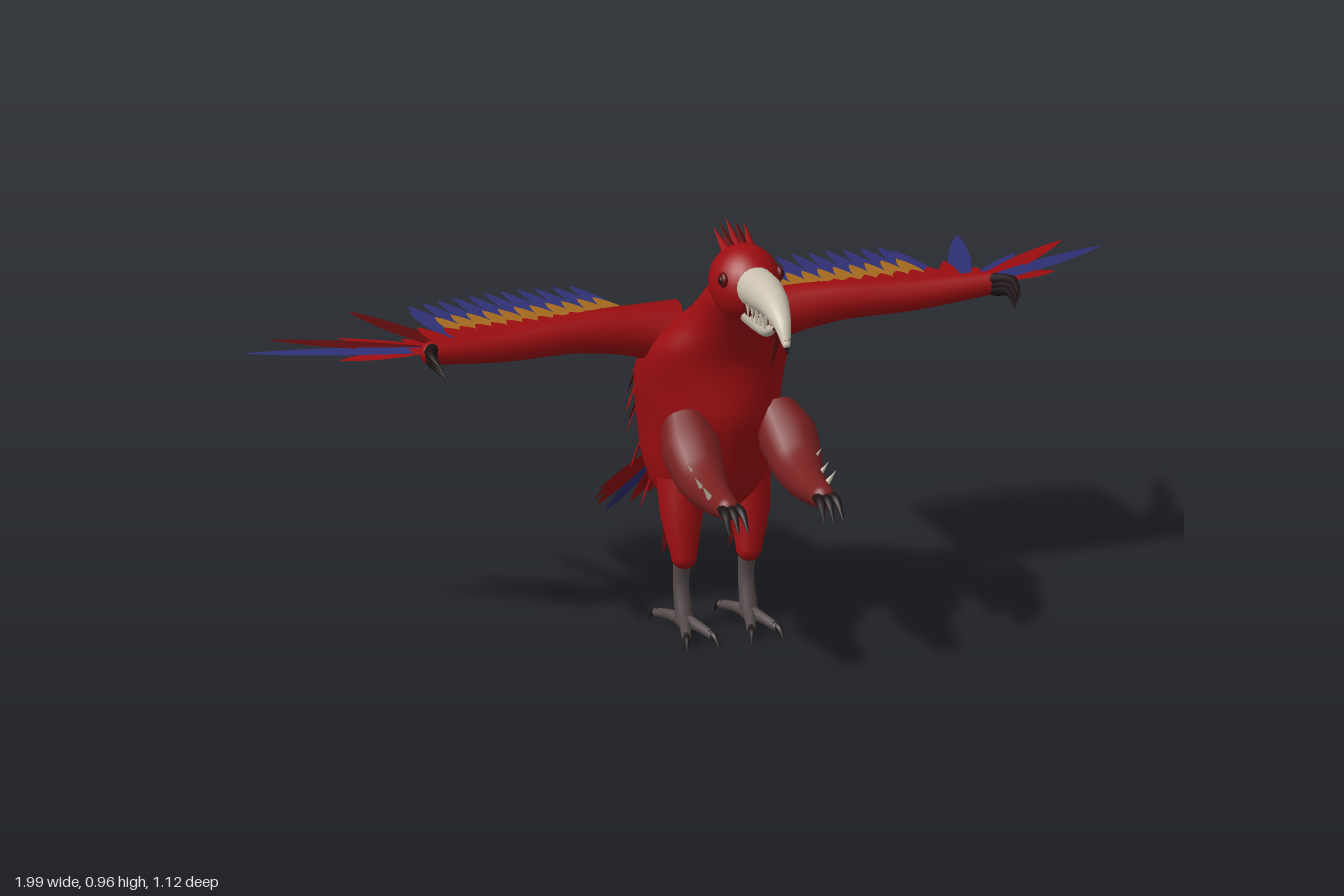
import * as THREE from 'three';
import { mergeVertices } from 'three/addons/utils/BufferGeometryUtils.js';

const mat = (name, color, side = THREE.FrontSide) => {
  const m = new THREE.MeshStandardMaterial({ color, side });
  m.name = name;
  return m;
};
const V = (x, y, z) => new THREE.Vector3(x, y, z);

export function createModel() {
  const root = new THREE.Group();
  root.name = 'parrotCreature';
  const D = THREE.DoubleSide;
  const red = mat('scarlet', 0x9c0d10, D), darkRed = mat('dark red', 0x5a0a0c, D);
  const blue = mat('feather blue', 0x2f3075, D), orange = mat('feather ochre', 0xa56a1e, D);
  const skin = mat('arm skin', 0x78201f), bone = mat('bone', 0xc9c0ae);
  const grey = mat('leg grey', 0x544a49), black = mat('claw black', 0x1d1314);

  const add = (parent, name, geometry, material) => {
    const m = new THREE.Mesh(geometry, material);
    m.name = name;
    parent.add(m);
    return m;
  };
  const group = (name) => {
    const g = new THREE.Group();
    g.name = name;
    root.add(g);
    return g;
  };
  const ball = (parent, name, material, c, r) => {
    const m = add(parent, name, new THREE.SphereGeometry(1, 24, 16), material);
    m.position.set(...c);
    m.scale.set(...r);
    return m;
  };

  // Tapered tube through [x, y, z, radius] points, rounded at its end
  function limb(parent, name, material, pts, sides = 14) {
    const curve = new THREE.CatmullRomCurve3(pts.map((p) => V(p[0], p[1], p[2])));
    const n = pts.length * 5;
    const geo = new THREE.TubeGeometry(curve, n, 1, sides);
    const pos = geo.attributes.position, v = V(0, 0, 0);
    for (let i = 0; i <= n; i++) {
      const c = curve.getPointAt(i / n);
      const t = curve.getUtoTmapping(i / n) * (pts.length - 1);
      const k = Math.min(Math.floor(t), pts.length - 2);
      const r = THREE.MathUtils.lerp(pts[k][3], pts[k + 1][3], t - k);
      for (let j = 0; j <= sides; j++) {
        const id = i * (sides + 1) + j;
        v.fromBufferAttribute(pos, id).sub(c).multiplyScalar(r).add(c);
        pos.setXYZ(id, v.x, v.y, v.z);
      }
    }
    add(parent, name, geo, material);
    const e = pts[pts.length - 1];
    if (e[3] > 0.008) ball(parent, name + 'End', material, e.slice(0, 3), [e[3], e[3], e[3]]);
  }

  // Straight cone from one point to another
  function spike(parent, name, material, a, b, r) {
    const from = V(...a), to = V(...b), d = to.clone().sub(from);
    const m = add(parent, name, new THREE.ConeGeometry(r, d.length(), 7), material);
    m.position.copy(from).addScaledVector(d, 0.5);
    m.quaternion.setFromUnitVectors(V(0, 1, 0), d.normalize());
  }

  // Flat pointed feather from root to tip, facing a given way
  function feather(parent, name, material, a, b, width, face = V(0, 1, 0), baseWidth = 0.8) {
    const from = V(...a), d = V(...b).sub(from), L = d.length(), h = width / 2;
    const s = new THREE.Shape();
    s.moveTo(-h * baseWidth, 0);
    s.lineTo(h * baseWidth, 0);
    s.lineTo(h, L * 0.5);
    s.quadraticCurveTo(h * 0.8, L * 0.82, 0, L);
    s.quadraticCurveTo(-h * 0.8, L * 0.82, -h, L * 0.5);
    const m = add(parent, name, new THREE.ShapeGeometry(s, 5), material);
    const Y = d.normalize(), X = Y.clone().cross(face).normalize(), Z = X.clone().cross(Y);
    m.quaternion.setFromRotationMatrix(new THREE.Matrix4().makeBasis(X, Y, Z));
    m.position.copy(from);
  }

  // Torso and neck: level rings of [y, front z, back z, half width]
  const rings = [
    [0.27, 0.11, 0.07, 0.01], [0.285, 0.145, 0.03, 0.07], [0.32, 0.18, -0.06, 0.115],
    [0.38, 0.22, -0.11, 0.135], [0.45, 0.245, -0.135, 0.142], [0.52, 0.265, -0.142, 0.15],
    [0.58, 0.262, -0.115, 0.157], [0.64, 0.257, -0.03, 0.158], [0.685, 0.265, 0.03, 0.145],
    [0.735, 0.285, 0.085, 0.11], [0.78, 0.31, 0.14, 0.088], [0.82, 0.335, 0.18, 0.077],
    [0.86, 0.34, 0.22, 0.06],
  ];
  const tracks = [0, 1, 2, 3].map((k) =>
    new THREE.SplineCurve(rings.map((r, i) => new THREE.Vector2(i, r[k]))));
  const bodyPoint = (t, a) => {
    const [y, f, b, w] = tracks.map((c) => c.getPoint(t).y);
    return V(w * Math.sin(a), y, (f + b) / 2 + ((f - b) / 2) * Math.cos(a));
  };
  const N = 40;
  let torso = new THREE.LatheGeometry(
    Array.from({ length: N + 1 }, (_, i) => new THREE.Vector2(1, i / N)), 32);
  const tp = torso.attributes.position;
  for (let i = 0; i < tp.count; i++) {
    const p = bodyPoint(tp.getY(i), Math.atan2(tp.getX(i), tp.getZ(i)));
    tp.setXYZ(i, p.x, p.y, p.z);
  }
  torso.deleteAttribute('uv');
  torso.deleteAttribute('normal');
  torso = mergeVertices(torso, 1e-5);
  torso.computeVertexNormals();
  const body = group('body');
  add(body, 'torso', torso, red);
  ball(body, 'rump', red, [0, 0.385, -0.095], [0.085, 0.065, 0.09]);

  // Loose feathers around the flanks and back
  let seed = 7;
  const rnd = () => ((seed = (seed * 16807) % 2147483647) / 2147483647);
  for (let row = 0; row < 6; row++) {
    for (let k = 0; k < 7; k++) {
      const a = Math.PI + (k - 3) * 0.42 + (rnd() - 0.5) * 0.25;
      const p = bodyPoint(0.17 + row * 0.095 + rnd() * 0.03, a);
      const out = V(Math.sin(a), 0, Math.cos(a));
      const q = p.clone().addScaledVector(out, 0.022).add(V(0, -0.05 - rnd() * 0.015, 0));
      feather(body, 'bodyFeather', k % 2 ? darkRed : red, p.toArray(), q.toArray(), 0.02, out);
    }
  }

  // Head, crest and beak
  const head = group('head');
  ball(head, 'skull', red, [0, 0.855, 0.292], [0.078, 0.085, 0.09]);
  for (let i = -2; i <= 2; i++)
    spike(head, 'crestFeather', i % 2 ? darkRed : red, [i * 0.014, 0.915, 0.26],
      [i * 0.018, 0.967 - Math.abs(i) * 0.006, 0.175 + Math.abs(i) * 0.01], 0.012);
  limb(head, 'upperBeak', bone, [[0, 0.865, 0.35, 0.046], [0, 0.868, 0.42, 0.042],
    [0, 0.86, 0.475, 0.032], [0, 0.832, 0.522, 0.019], [0, 0.795, 0.545, 0.009]], 20);
  spike(head, 'beakTip', black, [0, 0.803, 0.541], [0, 0.772, 0.555], 0.011);
  limb(head, 'lowerBeak', bone, [[0, 0.805, 0.34, 0.032], [0, 0.798, 0.39, 0.026],
    [0, 0.792, 0.43, 0.017], [0, 0.806, 0.472, 0.004]]);
  ball(head, 'mouth', darkRed, [0, 0.825, 0.375], [0.034, 0.025, 0.045]);
  limb(head, 'tongue', darkRed, [[0, 0.815, 0.38, 0.012], [0, 0.812, 0.43, 0.011],
    [0.012, 0.77, 0.444, 0.009], [0.01, 0.735, 0.436, 0.007], [0.008, 0.702, 0.433, 0.001]], 8);

  // Tail fan
  const tail = group('tail');
  const tailTips = [[0.075, -0.4], [0.062, -0.46], [0.04, -0.51]];
  const tailY = (z) => 0.345 + (z + 0.16) * 0.74;
  for (const s of [-1, 1])
    tailTips.forEach(([x, z], i) => feather(tail, 'redTailFeather', red,
      [s * 0.016, tailY(-0.13) - 0.008 + i * 0.002, -0.13],
      [s * x, tailY(z) - 0.006 + i * 0.002, z], 0.04));
  feather(tail, 'blueTailFeather', blue, [0, tailY(-0.13), -0.13], [0, tailY(-0.56), -0.56], 0.04);

  for (const s of [-1, 1]) {
    const side = s > 0 ? 'left' : 'right';

    // Eyes and teeth
    ball(head, side + 'EyeRim', darkRed, [s * 0.064, 0.88, 0.33], [0.009, 0.017, 0.017]);
    ball(head, side + 'Eye', black, [s * 0.068, 0.88, 0.331], [0.008, 0.01, 0.01]);
    for (let i = 0; i < 6; i++) {
      const z = 0.395 + i * 0.018, x = s * (0.032 - i * 0.0035);
      spike(head, 'upperTooth', bone, [x, 0.842, z], [x, 0.806, z + 0.003], 0.005);
      if (i < 4) spike(head, 'lowerTooth', bone, [x * 0.7, 0.803, z], [x * 0.8, 0.834, z], 0.005);
    }

    // Forward arm with thorns and claws
    const arm = group(side + 'Arm');
    limb(arm, 'arm', skin, [[s * 0.105, 0.515, 0.2, 0.05], [s * 0.112, 0.475, 0.26, 0.066],
      [s * 0.112, 0.428, 0.325, 0.055], [s * 0.11, 0.41, 0.4, 0.038],
      [s * 0.11, 0.41, 0.475, 0.027]]);
    for (const [z, y] of [[0.345, 0.45], [0.39, 0.435], [0.435, 0.43]])
      spike(arm, 'thorn', bone, [s * 0.132, y - 0.01, z], [s * 0.155, y + 0.025, z + 0.008], 0.008);
    for (const k of [-1, 0, 1])
      limb(arm, 'armClaw', black, [[s * 0.11 + k * 0.013, 0.412, 0.475, 0.013],
        [s * 0.11 + k * 0.019, 0.41, 0.515, 0.01], [s * 0.11 + k * 0.022, 0.372, 0.547, 0.001]], 8);

    // Leg, feathered thigh and zygodactyl foot
    const leg = group(side + 'Leg');
    limb(leg, 'thigh', red, [[s * 0.075, 0.36, 0.1, 0.055], [s * 0.078, 0.27, 0.112, 0.046],
      [s * 0.075, 0.18, 0.12, 0.028]]);
    for (let i = 0; i < 9; i++) {
      const a = (i / 9) * Math.PI * 2, dx = Math.sin(a), dz = Math.cos(a);
      const y = 0.27 + (i % 3) * 0.02;
      feather(leg, 'thighFeather', i % 2 ? darkRed : red,
        [s * 0.077 + dx * 0.034, y, 0.105 + dz * 0.034],
        [s * 0.077 + dx * 0.04, y - 0.1, 0.1 + dz * 0.042], 0.022, V(dx, 0, dz));
    }
    limb(leg, 'shank', grey, [[s * 0.075, 0.2, 0.125, 0.023], [s * 0.075, 0.12, 0.102, 0.017],
      [s * 0.075, 0.035, 0.122, 0.02]]);
    for (const fz of [-1, 1]) for (const fx of [-1, 1]) {
      const at = (d, y, r) => [s * 0.075 + fx * d * 0.32, y, 0.12 + fz * d, r];
      limb(leg, 'toe', grey, [at(0, 0.035, 0.017), at(0.045, 0.033, 0.012), at(0.09, 0.026, 0.01)], 8);
      limb(leg, 'toeClaw', black, [at(0.08, 0.028, 0.01), at(0.1, 0.025, 0.008), at(0.115, 0.004, 0.001)], 8);
    }

    // Wing arm with claws
    const wing = group(side + 'Wing');
    limb(wing, 'wingArm', red, [[s * 0.08, 0.675, 0.07, 0.075], [s * 0.17, 0.69, 0.06, 0.056],
      [s * 0.3, 0.7, 0.062, 0.044], [s * 0.48, 0.698, 0.075, 0.036], [s * 0.645, 0.705, 0.085, 0.026]]);
    for (const k of [-1, 0, 1])
      limb(wing, 'wingClaw', black, [[s * 0.65, 0.706 + k * 0.012, 0.1, 0.014],
        [s * (0.67 + k * 0.004), 0.715 + k * 0.012, 0.15, 0.011],
        [s * (0.662 + k * 0.006), 0.697 + k * 0.012, 0.212, 0.001]], 8);

    // Layered flight feathers
    const fy = (z, lift) => 0.7 - 0.1 * (0.03 - z) + lift;
    const row = (name, m, count, x0, step, z0, z1, lift, w) => {
      for (let i = 0; i < count; i++) {
        const x = x0 + i * step, up = lift + (i % 2) * 0.001;
        feather(wing, name, m, [s * x, fy(z0, up), z0], [s * (x + 0.012), fy(z1(i), up), z1(i)], w, V(0, 1, 0), 1);
      }
    };
    row('blueFlightFeather', blue, 11, 0.157, 0.0375, 0.04, (i) => -0.33 - 0.03 * Math.sin((i / 10) * Math.PI), 0, 0.044);
    row('blueEndFeather', blue, 1, 0.548, 0, 0.04, () => -0.28, 0.002, 0.045);
    row('ochreCovert', orange, 11, 0.157, 0.0365, 0.04, () => -0.19, 0.006, 0.042);
    row('redCovert', red, 12, 0.15, 0.036, 0.05, () => -0.065, 0.012, 0.042);
    row('redFringe', red, 9, 0.2, 0.048, 0.07, () => 0.0, -0.035, 0.03);

    // Spread feathers at the wing end: [tip x, tip z, root x, width, colour]
    const outer = [
      [0.61, -0.1, 0.57, 0.045, red], [0.705, -0.27, 0.585, 0.05, s > 0 ? blue : darkRed],
      [0.665, -0.05, 0.6, 0.05, red], [0.785, -0.13, 0.61, 0.04, s > 0 ? blue : red],
      [0.92, -0.2, 0.62, 0.05, s > 0 ? red : darkRed], [0.995, -0.15, 0.635, 0.052, blue],
      [0.83, 0.0, 0.64, 0.055, red], [0.73, 0.04, 0.64, 0.04, red],
    ];
    outer.forEach(([x, z, rx, w, m], i) => feather(wing, 'tipFeather', m,
      [s * rx, 0.7 + i * 0.0015, 0.075], [s * x, 0.7 - (x - 0.6) * 0.075, z], w));
  }
  return root;
}
